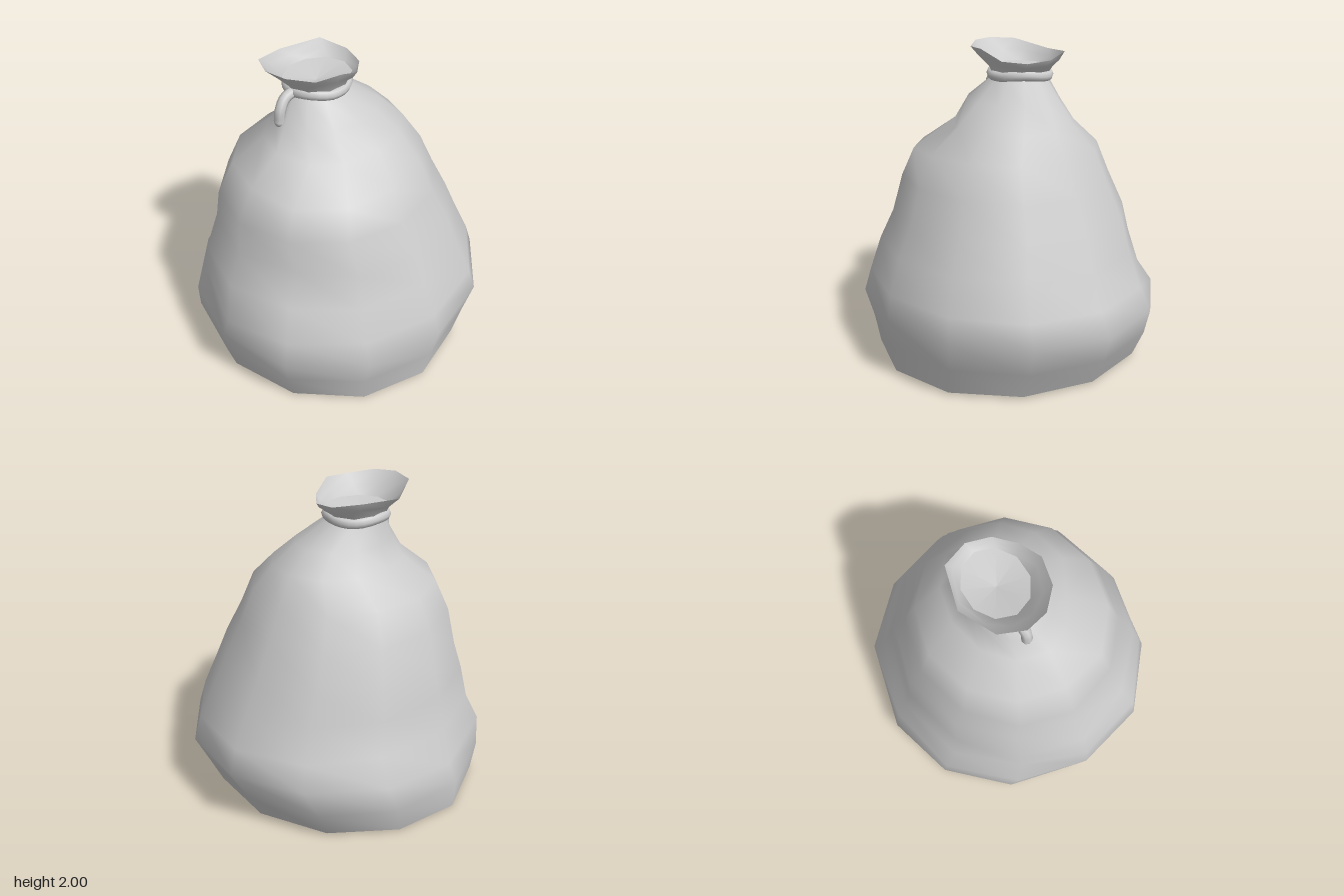
import * as THREE from 'three';

const material = () => new THREE.MeshStandardMaterial({ color: 0xcccccc, side: THREE.DoubleSide });

function addMesh(group, name, geometry) {
  const mesh = new THREE.Mesh(geometry, material());
  mesh.name = name;
  group.add(mesh);
}

// Skin closed rings of equal point counts, listed from low to high
function loft(rings) {
  const n = rings[0].length;
  const index = [];
  for (let i = 0; i < rings.length - 1; i++) {
    for (let j = 0; j < n; j++) {
      const k = (j + 1) % n;
      const a = i * n + j, b = i * n + k, c = a + n, d = b + n;
      index.push(a, c, d, a, d, b);
    }
  }
  const geometry = new THREE.BufferGeometry().setFromPoints(rings.flat());
  geometry.setIndex(index);
  geometry.computeVertexNormals();
  return geometry;
}

// Oval ring from its extents; angles run from +x towards +z
function ovalRing([y, x0, x1, z0, z1], sides) {
  return Array.from({ length: sides }, (_, j) => {
    const t = (j / sides) * Math.PI * 2;
    return new THREE.Vector3(
      (x0 + x1) / 2 + ((x1 - x0) / 2) * Math.cos(t), y,
      (z0 + z1) / 2 + ((z1 - z0) / 2) * Math.sin(t));
  });
}

const pointRing = (x, y, z, sides) => Array.from({ length: sides }, () => new THREE.Vector3(x, y, z));

export function createModel() {
  const group = new THREE.Group();
  group.name = 'tiedSack';

  // Slumped body: y, min x, max x, min z, max z
  const body = [
    [0.015, -0.9, 0.8, -0.92, 0.89],
    [0.2, -0.96, 0.895, -0.945, 0.92],
    [0.4, -1.0, 0.99, -0.9, 0.955],
    [0.55, -0.975, 0.93, -0.83, 0.92],
    [0.76, -0.91, 0.83, -0.78, 0.84],
    [0.95, -0.81, 0.75, -0.74, 0.76],
    [1.17, -0.79, 0.64, -0.66, 0.665],
    [1.37, -0.68, 0.545, -0.58, 0.58],
    [1.53, -0.49, 0.44, -0.38, 0.4],
    [1.66, -0.385, 0.31, -0.31, 0.25],
    [1.78, -0.26, 0.14, -0.28, 0.1],
    [1.83, -0.24, 0.11, -0.265, 0.075],
  ].map((row) => ovalRing(row, 12));

  // Folds and bulges: ring, column, factor on the distance from the axis, lift
  [
    [2, 5, 1.03, 0], [2, 4, 1.02, 0], [3, 5, 1.02, 0.02], [3, 6, 0.99, -0.05],
    [3, 7, 0.96, 0.03], [4, 5, 0.98, 0], [5, 5, 0.95, 0], [7, 4, 1.02, -0.02],
    [7, 5, 1.03, -0.03], [8, 4, 0.86, -0.05], [8, 5, 0.92, -0.03], [2, 8, 1.03, 0],
    [2, 9, 1, -0.06], [2, 10, 1.03, 0],
  ].forEach(([i, j, factor, lift]) => {
    const p = body[i][j];
    p.set(p.x * factor, p.y + lift, p.z * factor);
  });
  body[0][9].y = 0;
  addMesh(group, 'sackBody', loft(body));
  addMesh(group, 'sackBottom', loft([pointRing(-0.05, 0.015, 0, 12), body[0].map((p) => p.clone())]));

  // Flared, uneven mouth above the tie
  const rim = [
    [0.21, 1.92, -0.13], [0.17, 1.905, 0.02], [0.05, 1.915, 0.125], [-0.11, 1.98, 0.17],
    [-0.28, 1.975, 0.13], [-0.4, 1.995, 0.01], [-0.43, 2.0, -0.13], [-0.36, 1.99, -0.28],
    [-0.12, 1.94, -0.375], [0.14, 1.955, -0.3],
  ].map((p) => new THREE.Vector3(...p));
  const throat = ovalRing([1.8, -0.24, 0.11, -0.27, 0.075], 10);
  const flare = ovalRing([1.865, -0.29, 0.165, -0.3, 0.1], 10);
  const middle = rim.map((p, j) => p.clone().lerp(flare[j], 0.45).add(new THREE.Vector3(0, -0.012, 0)));
  addMesh(group, 'sackMouth', loft([throat, flare, middle, rim]));
  addMesh(group, 'mouthFloor', loft([
    ovalRing([1.86, -0.285, 0.16, -0.295, 0.095], 10), pointRing(-0.07, 1.82, -0.1, 10)]));

  // Cord around the neck, slightly wavy
  const cord = Array.from({ length: 14 }, (_, j) => {
    const t = (j / 14) * Math.PI * 2;
    return new THREE.Vector3(
      -0.063 + 0.185 * Math.cos(t), 1.812 + 0.008 * Math.sin(3 * t), -0.1 + 0.175 * Math.sin(t));
  });
  addMesh(group, 'neckCord', new THREE.TubeGeometry(new THREE.CatmullRomCurve3(cord, true), 28, 0.035, 8, true));

  // Loose cord end hanging at the side
  const tail = [[-0.24, 1.815, -0.1], [-0.32, 1.79, -0.1], [-0.365, 1.73, -0.09], [-0.375, 1.66, -0.09]]
    .map((p) => new THREE.Vector3(...p));
  addMesh(group, 'cordEnd', new THREE.TubeGeometry(new THREE.CatmullRomCurve3(tail), 10, 0.034, 8));
  const tip = new THREE.SphereGeometry(0.034, 8, 6);
  tip.translate(-0.375, 1.66, -0.09);
  addMesh(group, 'cordTip', tip);

  return group;
}
